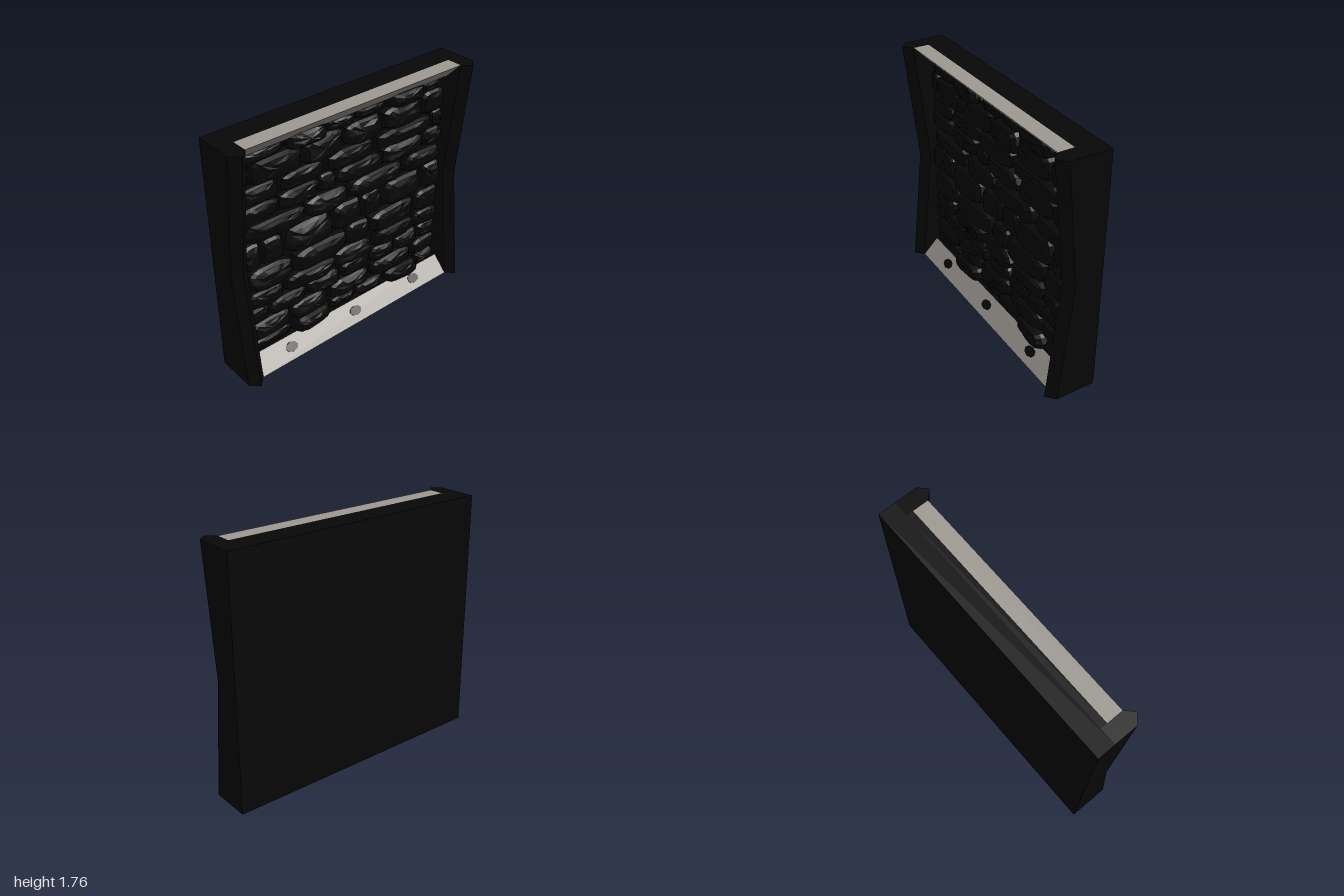
import * as THREE from 'three';

const H = 1.765, INNER = 0.88, BACK = -0.176, RECESS = -0.05, RAIL = 0.117;

// small seeded generator for stone irregularity
function makeRandom(seed) {
  return () => {
    seed = (seed * 16807) % 2147483647;
    return seed / 2147483647;
  };
}

// cushion-shaped stone built from shrinking rounded-rectangle rings
function stoneGeometry(x0, x1, y0, y1, depth, rand) {
  const N = 14, cx = (x0 + x1) / 2, cy = (y0 + y1) / 2;
  const rx = (x1 - x0) / 2, ry = (y1 - y0) / 2;
  const rings = [[1, 0], [0.95, 0.5], [0.8, 0.82], [0.45, 0.97]];
  const wobble = Array.from({ length: N }, () => 0.92 + rand() * 0.13);
  const tiltX = (rand() - 0.5) * 0.3, tiltY = (rand() - 0.5) * 0.4;
  const pos = [], idx = [];
  const root = (v) => Math.sign(v) * Math.abs(v) ** 0.55;
  rings.forEach(([s, h]) => {
    for (let i = 0; i < N; i++) {
      const a = (i / N) * Math.PI * 2;
      const u = root(Math.cos(a)) * s * wobble[i], v = root(Math.sin(a)) * s * wobble[i];
      const rise = depth * h * (1 + tiltX * u + tiltY * v + (rand() - 0.5) * 0.12);
      pos.push(cx + rx * u, cy + ry * v, RECESS + rise);
    }
  });
  pos.push(cx, cy, RECESS + depth);
  const top = rings.length * N;
  for (let r = 0; r < rings.length; r++) {
    for (let i = 0; i < N; i++) {
      const a = r * N + i, b = r * N + (i + 1) % N;
      if (r === rings.length - 1) idx.push(a, b, top);
      else idx.push(a, b, b + N, a, b + N, a + N);
    }
  }
  const g = new THREE.BufferGeometry();
  g.setAttribute('position', new THREE.Float32BufferAttribute(pos, 3));
  g.setIndex(idx);
  const flat = g.toNonIndexed();
  flat.computeVertexNormals();
  return flat;
}

// pointed pillar that pinches inward at mid height
function pillarGeometry() {
  const shape = new THREE.Shape([[-0.06, -RECESS], [0.06, -RECESS], [0.06, -RAIL], [0, BACK], [-0.06, -RAIL]]
    .map(([x, y]) => new THREE.Vector2(x, y)));
  const g = new THREE.ExtrudeGeometry(shape, { depth: H, steps: 2, bevelEnabled: false });
  g.rotateX(-Math.PI / 2);
  const p = g.attributes.position;
  for (let i = 0; i < p.count; i++) {
    if (Math.abs(p.getY(i) - H / 2) < 0.01 && p.getZ(i) > 0.05) p.setZ(i, p.getZ(i) - 0.095);
  }
  g.computeVertexNormals();
  return g;
}

// wedge rail running between the pillars, profile given as (z, y)
function railGeometry(points) {
  const shape = new THREE.Shape(points.map(([z, y]) => new THREE.Vector2(z, y)));
  const g = new THREE.ExtrudeGeometry(shape, { depth: INNER * 2, bevelEnabled: false });
  g.rotateY(-Math.PI / 2);
  g.translate(INNER, 0, 0);
  return g;
}

export function createModel() {
  const model = new THREE.Group();
  const material = (name, color) => {
    const m = new THREE.MeshStandardMaterial({ color });
    m.name = name;
    return m;
  };
  const black = material('black frame', 0x070707);
  const stoneMat = material('dark stone', 0x070708);
  const grey = material('warm grey', 0x9f9a93);
  const add = (name, geometry, mat, parent = model) => {
    const mesh = new THREE.Mesh(geometry, mat);
    mesh.name = name;
    parent.add(mesh);
    return mesh;
  };

  // back slab, with beams that carry the rails in front of the recessed wall
  add('backSlab', new THREE.BoxGeometry(2, H, RECESS - BACK), black).position.set(0, H / 2, (BACK + RECESS) / 2);
  for (const [name, y] of [['bottomBeam', RAIL / 2], ['topBeam', H - RAIL / 2]]) {
    add(name, new THREE.BoxGeometry(INNER * 2, RAIL, -RECESS), black).position.set(0, y, RECESS / 2);
  }

  // side pillars
  add('leftPillar', pillarGeometry(), black).position.x = 0.94;
  add('rightPillar', pillarGeometry(), black).position.x = -0.94;

  // sloped rails
  add('bottomRail', railGeometry([[0, 0], [RAIL, 0], [0, RAIL]]), grey);
  add('topRail', railGeometry([[0, H], [RAIL, H], [0, H - RAIL]]), grey);

  // dark studs on the lower rail
  for (const x of [-0.59, 0, 0.585]) {
    const stud = add('railStud', new THREE.CylinderGeometry(1, 1, 0.008, 8), black);
    stud.scale.set(0.052, 1, 0.036);
    stud.rotation.x = Math.PI / 4;
    stud.position.set(x, 0.061, RAIL - 0.061);
  }

  // stone courses: bottom, top, joints between neighbouring stones
  const courses = [
    [0.12, 0.21, [-0.87, -0.52, -0.18, 0.06, 0.33, 0.66, 0.87]],
    [0.21, 0.35, [-0.87, -0.53, -0.2, 0.2, 0.62, 0.87]],
    [0.35, 0.48, [-0.87, -0.71, -0.38, -0.08, 0.2, 0.44, 0.68, 0.87]],
    [0.47, 0.61, [-0.87, -0.57, -0.13, 0.22, 0.62, 0.87]],
    [0.61, 0.79, [-0.86, -0.5, -0.03, 0.18, 0.62, 0.87]],
    [0.79, 1.0, [-0.88, -0.74, -0.57, -0.15, 0.11, 0.3, 0.69, 0.87]],
    [0.99, 1.14, [-0.87, -0.37, -0.01, 0.5, 0.87]],
    [1.14, 1.28, [-0.88, -0.58, -0.25, -0.11, 0.3, 0.69, 0.87]],
    [1.27, 1.41, [-0.88, -0.57, -0.2, 0.23, 0.76, 0.87]],
    [1.4, 1.58, [-0.88, -0.79, -0.39, -0.04, 0.28, 0.65, 0.87]],
    [1.57, 1.65, [-0.87, -0.52, -0.18, 0.06, 0.33, 0.66, 0.87]],
  ];
  const rand = makeRandom(4127);
  const stones = new THREE.Group();
  stones.name = 'stoneWall';
  model.add(stones);
  for (const [y0, y1, joints] of courses) {
    for (let i = 0; i < joints.length - 1; i++) {
      // larger stones stand further out
      const area = (joints[i + 1] - joints[i]) * (y1 - y0);
      const depth = 0.036 + area * 0.55 + rand() * 0.012;
      add('stone', stoneGeometry(joints[i], joints[i + 1], y0, y1, depth, rand), stoneMat, stones);
    }
  }

  // larger stones overlapping the rails
  for (const [x0, x1] of [[-0.52, -0.19], [0.33, 0.66]]) {
    add('lowerOverlapStone', stoneGeometry(x0, x1, 0.085, 0.22, 0.1, rand), stoneMat, stones);
    add('upperOverlapStone', stoneGeometry(x0, x1, 1.56, 1.685, 0.1, rand), stoneMat, stones);
  }
  return model;
}
